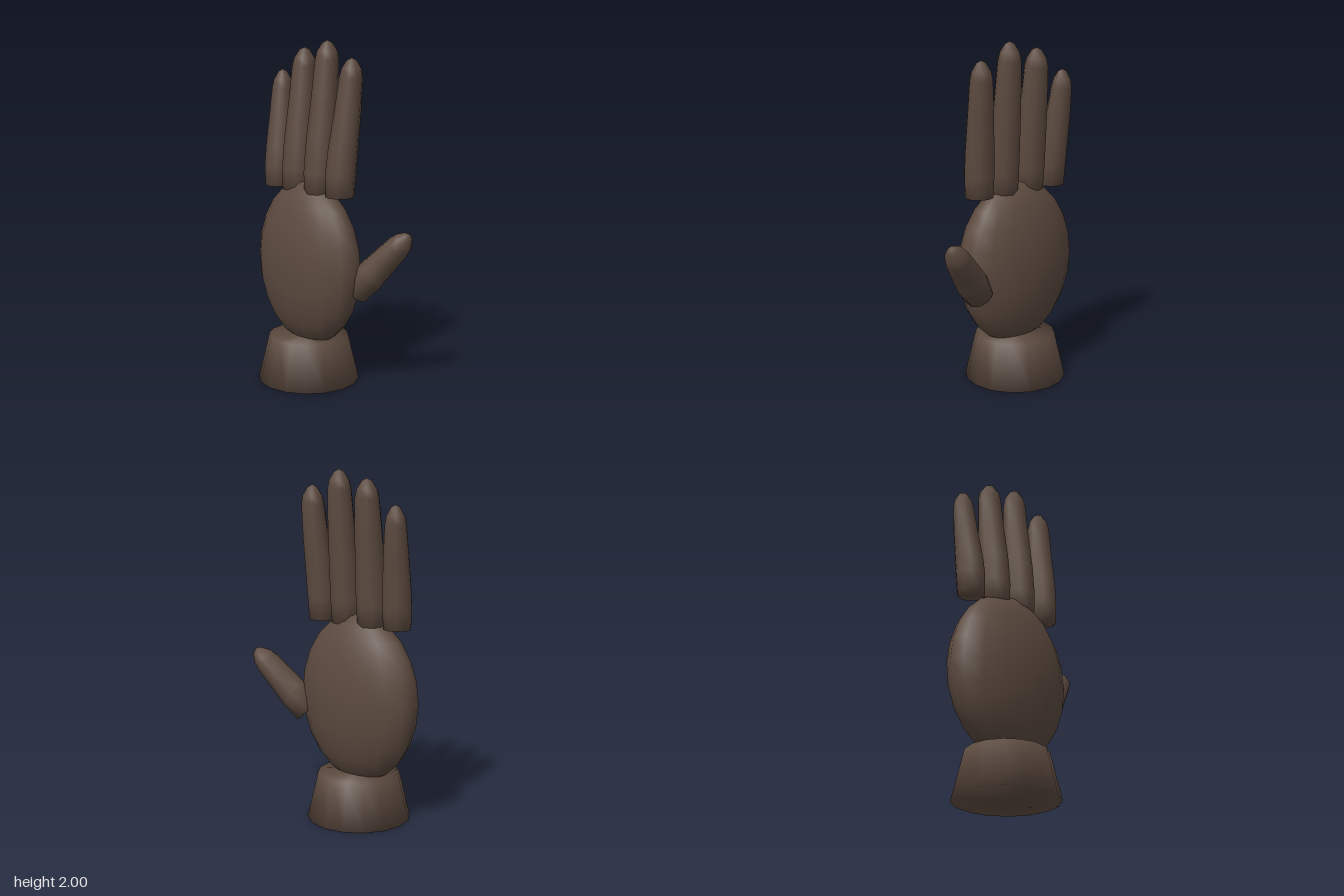
import * as THREE from 'three';
import { mergeVertices } from 'three/addons/utils/BufferGeometryUtils.js';

const brown = new THREE.MeshStandardMaterial({ color: 0x5c4a3f });
brown.name = 'dark brown';

// Lathe a closed profile and share its vertices so the shading is smooth all over
function smoothLathe(profile, sides, move) {
  const geo = new THREE.LatheGeometry(profile.map(([r, y]) => new THREE.Vector2(r, y)), sides);
  if (move) {
    const p = geo.attributes.position;
    for (let i = 0; i < p.count; i++) {
      const [dx, dz] = move(p.getY(i));
      p.setX(i, p.getX(i) + dx);
      p.setZ(i, p.getZ(i) + dz);
    }
  }
  geo.deleteAttribute('normal');
  geo.deleteAttribute('uv');
  const merged = mergeVertices(geo, 1e-4);
  merged.computeVertexNormals();
  return merged;
}

// Tapered digit with a domed tip; it leans sideways and bends back along its length
function digit(name, length, radius, tipRadius, lean, bend) {
  const dome = 0.11;
  const body = length - dome;
  const profile = [
    [0, 0], [radius * 0.94, 0], [radius, 0.12], [radius * 0.97, body * 0.4],
    [radius * 0.6 + tipRadius * 0.34, body * 0.72], [tipRadius, body],
    [tipRadius * 0.84, body + dome * 0.45], [tipRadius * 0.42, body + dome * 0.87], [0, length],
  ];
  const geo = smoothLathe(profile, 10, (y) => {
    const t = y / length;
    const s = t * t * (3 - 2 * t);
    return [lean * s, -bend * s];
  });
  const mesh = new THREE.Mesh(geo, brown);
  mesh.name = name;
  return mesh;
}

export function createModel() {
  const hand = new THREE.Group();
  hand.name = 'hand';
  const centreX = -0.13;

  // Wrist: closed, flared base
  const wrist = new THREE.Mesh(
    smoothLathe([[0, 0], [0.3, 0], [0.235, 0.27], [0, 0.27]], 16), brown);
  wrist.name = 'wrist';
  wrist.position.x = centreX;
  hand.add(wrist);

  // Palm: flattened ellipsoid
  const palmGeo = new THREE.SphereGeometry(1, 16, 12);
  palmGeo.scale(0.4, 0.49, 0.19);
  const palm = new THREE.Mesh(palmGeo, brown);
  palm.name = 'palm';
  palm.position.set(centreX, 0.71, 0);
  hand.add(palm);

  // Four fingers: base x, tip height, base radius, tip radius, sideways lean
  const baseY = 1.135;
  const fingers = [
    ['littleFinger', -0.4, 1.82, 0.085, 0.062, -0.028],
    ['ringFinger', -0.226, 1.955, 0.093, 0.07, -0.004],
    ['middleFinger', -0.036, 2.0, 0.091, 0.069, 0.004],
    ['indexFinger', 0.14, 1.91, 0.088, 0.067, 0.028],
  ];
  for (const [name, x, tipY, radius, tipRadius, lean] of fingers) {
    const finger = digit(name, tipY - baseY, radius, tipRadius, lean, 0.06);
    finger.position.set(x, baseY, 0);
    hand.add(finger);
  }

  // Thumb: angled up, outwards and back
  const start = new THREE.Vector3(0.2, 0.59, -0.065);
  const end = new THREE.Vector3(0.495, 0.945, -0.205);
  const along = end.clone().sub(start);
  const thumb = digit('thumb', along.length(), 0.092, 0.072, 0, 0);
  thumb.position.copy(start);
  thumb.quaternion.setFromUnitVectors(new THREE.Vector3(0, 1, 0), along.normalize());
  hand.add(thumb);

  return hand;
}
